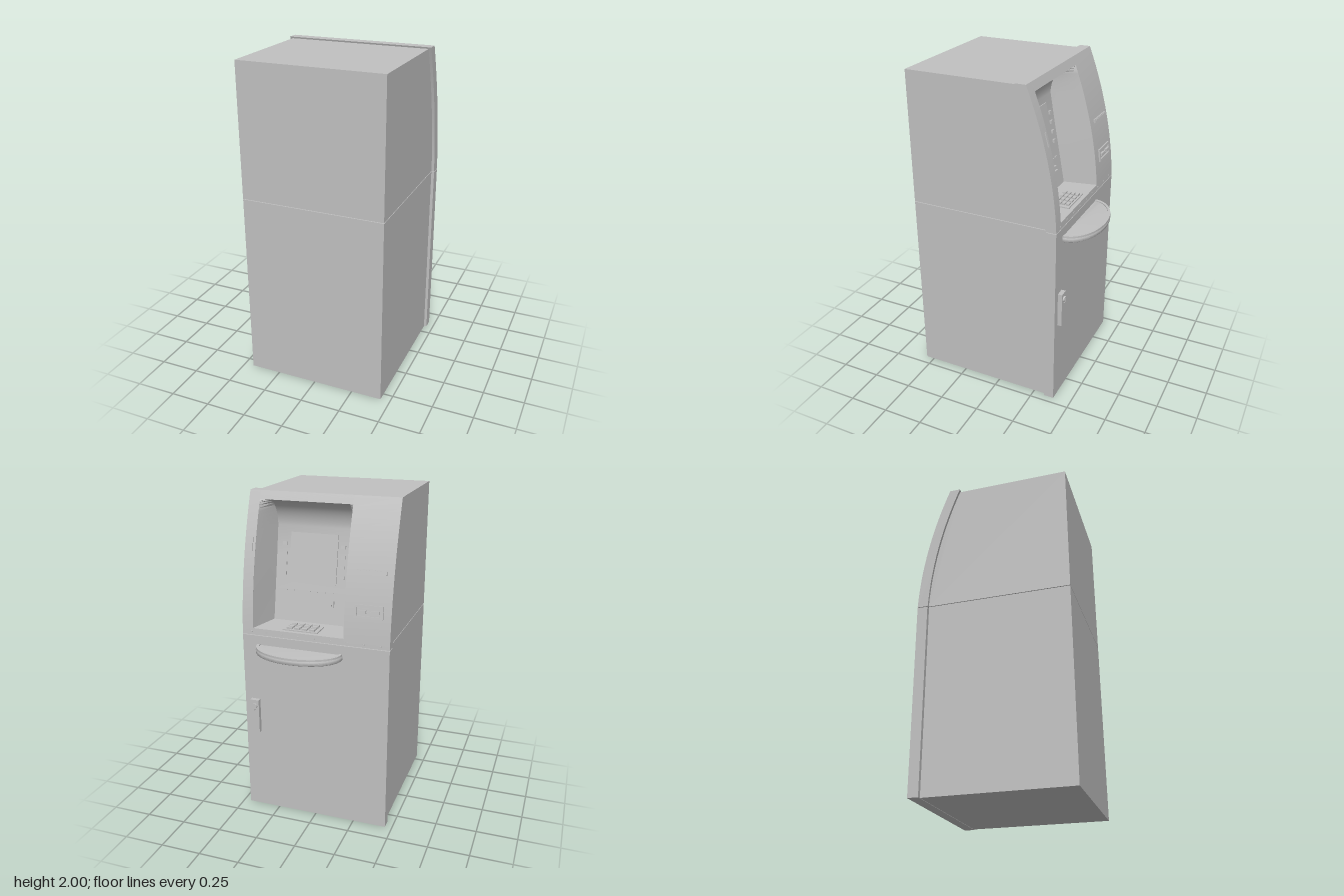
import * as THREE from 'three';
import { toCreasedNormals } from 'three/addons/utils/BufferGeometryUtils.js';

const paint = new THREE.MeshStandardMaterial({ color: 0xc0c0c0, side: THREE.DoubleSide });
paint.name = 'light grey';

// Curved face of the upper fascia: depth and lean at height y
const rise = (y) => (y - 1.17) / 0.83;
const faceZ = (y) => -0.388 + 0.039 * rise(y) + 0.147 * rise(y) ** 2;
const faceLean = (y) => Math.atan((0.039 + 0.294 * rise(y)) / 0.83);
const THICK = 0.066;

function add(parent, name, geometry, x = 0, y = 0, z = 0) {
  const mesh = new THREE.Mesh(geometry, paint);
  mesh.name = name;
  mesh.position.set(x, y, z);
  parent.add(mesh);
  return mesh;
}

const box = (parent, name, w, h, d, x, y, z) => add(parent, name, new THREE.BoxGeometry(w, h, d), x, y, z);

// Extrudes a side profile of [z, y] points from x0 to x1
function slab(parent, name, profile, x0, x1) {
  const shape = new THREE.Shape(profile.map(([z, y]) => new THREE.Vector2(-z, y)));
  const geo = new THREE.ExtrudeGeometry(shape, { depth: x1 - x0, bevelEnabled: false });
  geo.rotateY(Math.PI / 2).translate(x0, 0, 0);
  return add(parent, name, toCreasedNormals(geo, 0.4));
}

// Points along the curved face, shifted back by an offset
function curve(y0, y1, offset, n = 14) {
  return Array.from({ length: n + 1 }, (_, i) => {
    const y = y0 + ((y1 - y0) * i) / n;
    return [faceZ(y) + offset, y];
  });
}

// Group lying on the curved face, local -z pointing outward
function onFace(parent, name, x, y) {
  const g = new THREE.Group();
  g.name = name;
  g.position.set(x, y, faceZ(y));
  g.rotation.x = faceLean(y);
  parent.add(g);
  return g;
}

// Tapered alcove: side walls, leaning panel, rolled canopy and floor
function alcoveGeometry() {
  const back = [[1.21, -0.18], [1.4, -0.146], [1.6, -0.11]];
  for (let i = 0; i <= 10; i++) {
    const a = (i / 10) * Math.PI / 2;
    back.push([1.78 + 0.17 * Math.sin(a), -0.22 + 0.14 * Math.cos(a)]);
  }
  const rows = back.map(([y, z]) => [
    [0.39, y, faceZ(y)], [0.34, y, z], [-0.14, y, z], [-0.18, y, faceZ(y)],
  ]);
  const pos = [];
  const quad = (a, b, c, d) => pos.push(...a, ...b, ...c, ...a, ...c, ...d);
  for (let j = 0; j < rows.length - 1; j++) {
    for (let k = 0; k < 3; k++) quad(rows[j][k], rows[j][k + 1], rows[j + 1][k + 1], rows[j + 1][k]);
  }
  quad(rows[0][0], rows[0][3], rows[0][2], rows[0][1]);
  const geo = new THREE.BufferGeometry();
  geo.setAttribute('position', new THREE.Float32BufferAttribute(pos, 3));
  return toCreasedNormals(geo, 0.4);
}

export function createModel() {
  const model = new THREE.Group();
  model.name = 'cashMachine';

  // Lower safe and its door
  box(model, 'lowerCabinet', 0.88, 1.17, 0.875, 0, 0.585, 0.1175);
  box(model, 'door', 0.914, 1.166, 0.064, 0, 0.583, -0.356);

  // Upper cabinet, hollowed in the middle for the alcove
  const sideProfile = [...curve(1.174, 1.99, THICK), [0.555, 1.99], [0.555, 1.174]];
  const midProfile = [
    [-0.06, 1.174], [-0.06, 1.97], [faceZ(1.97) + THICK, 1.97], [faceZ(1.99) + THICK, 1.99],
    [0.555, 1.99], [0.555, 1.174],
  ];
  slab(model, 'upperCabinetRight', sideProfile, -0.44, -0.18);
  slab(model, 'upperCabinetMiddle', midProfile, -0.18, 0.39);
  slab(model, 'upperCabinetLeft', sideProfile, 0.39, 0.44);

  // Curved fascia around the alcove
  const fascia = (name, x0, x1, y0, y1) =>
    slab(model, name, [...curve(y0, y1, 0), ...curve(y0, y1, THICK).reverse()], x0, x1);
  fascia('cardPanel', -0.457, -0.18, 1.17, 2);
  fascia('fasciaStile', 0.39, 0.457, 1.17, 2);
  fascia('fasciaSill', -0.18, 0.39, 1.17, 1.21);
  fascia('fasciaHeader', -0.18, 0.39, 1.95, 2);
  add(model, 'alcove', alcoveGeometry());

  // Leaning panel with screen, side keys and cash slot
  const panel = new THREE.Group();
  panel.name = 'screenPanel';
  panel.position.set(0.1, 1.21, -0.18);
  panel.rotation.x = 0.175;
  model.add(panel);
  box(panel, 'screen', 0.3, 0.3, 0.008, 0, 0.39, -0.003);
  for (const s of [-1, 1]) {
    for (let i = 0; i < 4; i++) box(panel, 'sideKey', 0.028, 0.02, 0.012, s * 0.185, 0.29 + i * 0.06, -0.005);
  }
  for (let i = 0; i < 8; i++) box(panel, 'indicator', 0.026, 0.006, 0.008, -0.175 + i * 0.05, 0.19, -0.003);
  box(panel, 'cashSlotFrame', 0.29, 0.04, 0.016, 0, 0.125, -0.006);
  box(panel, 'cashSlotLip', 0.27, 0.01, 0.03, 0, 0.12, -0.012);

  // Keypad on the alcove floor
  box(model, 'keypadPlate', 0.22, 0.008, 0.12, 0.1, 1.213, -0.3);
  for (let r = 0; r < 4; r++) {
    for (let c = 0; c < 4; c++) {
      box(model, 'key', 0.034, 0.012, 0.018, 0.1 + (c - 1.5) * 0.047, 1.222, -0.3 + (r - 1.5) * 0.027);
    }
  }

  // Receipt slot, card reader and audio socket
  const receipt = onFace(model, 'receiptSlot', -0.325, 1.6);
  box(receipt, 'receiptLip', 0.18, 0.022, 0.02, 0, 0, -0.002);
  box(receipt, 'receiptLedge', 0.165, 0.006, 0.028, 0, 0.004, -0.002);
  const reader = onFace(model, 'cardReader', -0.325, 1.38);
  for (const s of [-1, 1]) {
    box(reader, 'readerRail', 0.17, 0.014, 0.014, 0, s * 0.032, -0.003);
    box(reader, 'readerEnd', 0.014, 0.07, 0.014, s * 0.078, 0, -0.003);
    box(reader, 'readerJaw', 0.05, 0.018, 0.026, s * 0.04, 0, -0.003);
  }
  box(reader, 'readerMouth', 0.13, 0.006, 0.016, 0, 0, -0.003);
  box(onFace(model, 'audioSocket', 0.412, 1.7), 'socketPlate', 0.012, 0.08, 0.008, 0, 0, -0.002);

  // Row of small studs along the sill
  for (let i = 0; i < 9; i++) box(model, 'sillStud', 0.012, 0.006, 0.006, -0.4 + i * 0.1, 1.19, -0.387);

  // Half-oval shelf with a raised rim
  const halfOval = (rx, rz) => new THREE.Shape().absellipse(0, 0, rx, rz, 0, Math.PI, false, 0);
  const shelfPart = (name, shape, depth, bevel, y) => {
    const geo = new THREE.ExtrudeGeometry(shape, {
      depth, curveSegments: 40, bevelEnabled: bevel > 0, bevelSize: bevel, bevelThickness: bevel, bevelSegments: 4,
    });
    geo.rotateX(-Math.PI / 2);
    add(model, name, toCreasedNormals(geo, 0.6), 0.095, y, -0.386);
  };
  shelfPart('shelf', halfOval(0.258, 0.157), 0.014, 0.012, 1.083);
  const rim = new THREE.Shape();
  rim.absellipse(0, 0, 0.268, 0.168, 0, Math.PI, false, 0);
  rim.absellipse(0, 0, 0.25, 0.155, Math.PI, 0, true, 0);
  shelfPart('shelfRim', rim, 0.022, 0, 1.092);

  // Door lock
  box(model, 'lockPlate', 0.056, 0.22, 0.03, 0.387, 0.64, -0.4);
  add(model, 'lockKnob', new THREE.CylinderGeometry(0.018, 0.018, 0.012, 20).rotateX(Math.PI / 2), 0.387, 0.71, -0.419);
  box(model, 'lockTurn', 0.008, 0.04, 0.01, 0.387, 0.705, -0.421);

  return model;
}
